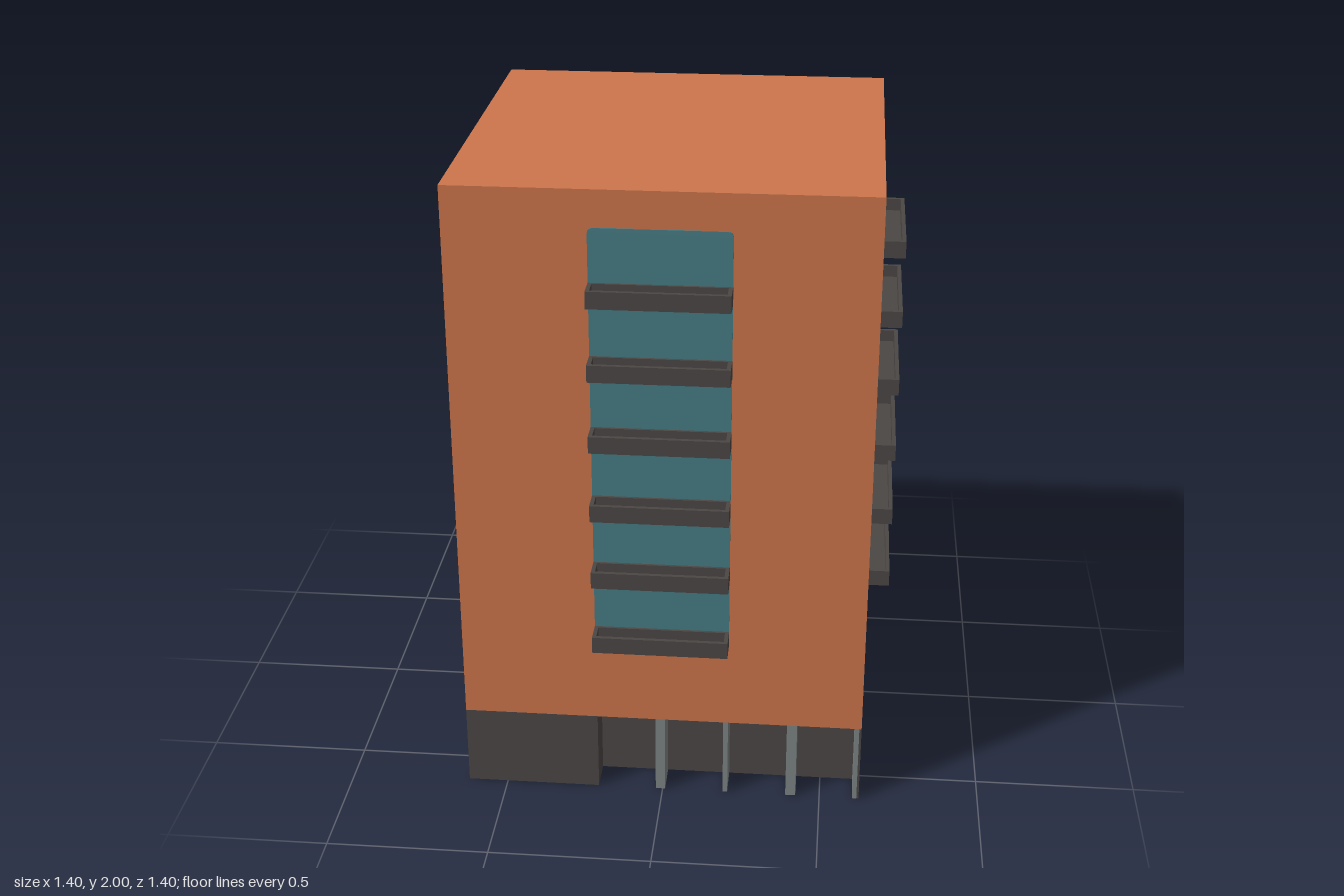
import * as THREE from 'three';

const mat = (name, color) => {
  const m = new THREE.MeshStandardMaterial({ color, side: THREE.DoubleSide, flatShading: true });
  m.name = name;
  return m;
};

export function createModel() {
  const brick = mat('terracotta', 0xcc754b);
  const glass = mat('teal glass', 0x477c84);
  const dark = mat('dark grey', 0x4b4745);
  const steel = mat('light grey', 0x7d8484);

  const H = 0.625, BASE = 0.262, TOP = 2, DEPTH = 0.105, INNER = H - DEPTH;
  const model = new THREE.Group();
  model.name = 'towerBlock';

  const add = (parent, name, geo, material) => {
    const mesh = new THREE.Mesh(geo, material);
    mesh.name = name;
    parent.add(mesh);
    return mesh;
  };
  // box given by its limits on each axis
  const box = (parent, name, material, x0, x1, y0, y1, z0, z1) => {
    const mesh = add(parent, name, new THREE.BoxGeometry(x1 - x0, y1 - y0, z1 - z0), material);
    mesh.position.set((x0 + x1) / 2, (y0 + y1) / 2, (z0 + z1) / 2);
    return mesh;
  };

  // flat roof of the hollow shell
  const roof = add(model, 'roof', new THREE.PlaneGeometry(2 * H, 2 * H).rotateX(-Math.PI / 2), brick);
  roof.position.y = TOP;

  // window strip with slightly rounded corners
  const w = 0.207, b = 0.56, t = 1.888, r = 0.018;
  const strip = new THREE.Shape();
  strip.moveTo(-w, b);
  strip.lineTo(w, b);
  strip.lineTo(w, t - r);
  strip.quadraticCurveTo(w, t, w - r, t);
  strip.lineTo(-w + r, t);
  strip.quadraticCurveTo(-w, t, -w, t - r);
  const stripGeo = new THREE.ExtrudeGeometry(strip, { depth: 0.004, bevelEnabled: false, curveSegments: 4 });

  // the four sides are the same, turned about the upright axis
  for (let i = 0; i < 4; i++) {
    const side = new THREE.Group();
    side.name = 'side' + (i + 1);
    side.rotation.y = i * Math.PI / 2;
    model.add(side);

    const wall = add(side, 'wall', new THREE.PlaneGeometry(2 * H, TOP - BASE), brick);
    wall.position.set(0, (TOP + BASE) / 2, H);

    add(side, 'windowStrip', stripGeo, glass).position.z = H;

    // open-topped balcony trays
    for (let k = 0; k < 6; k++) {
      const y = 0.542 + k * 0.2258, h = 0.053, z = 0.7, e = 0.012;
      const tray = new THREE.Group();
      tray.name = 'balcony' + (k + 1);
      side.add(tray);
      box(tray, 'balconyFloor', dark, -w, w, y, y + 0.015, H, z);
      box(tray, 'balconyFront', dark, -w, w, y + 0.015, y + h, z - e, z);
      box(tray, 'balconyBack', dark, -w, w, y + 0.015, y + h, H, H + e);
      for (const s of [-1, 1]) {
        const x = s * (w - e / 2);
        box(tray, 'balconyEnd', dark, x - e / 2, x + e / 2, y + 0.015, y + h, H + e, z - e);
      }
    }

    // underside above the recessed ground floor
    const soffit = add(side, 'soffit', new THREE.PlaneGeometry(H + 0.205, DEPTH).rotateX(Math.PI / 2), brick);
    soffit.position.set((H - 0.205) / 2, BASE, H - DEPTH / 2);

    // ground floor: flush wall, return into the recess, recessed wall
    box(side, 'flushBaseWall', dark, -H, -0.205, 0, BASE, H - 0.007, H);
    box(side, 'recessReturn', dark, -0.213, -0.205, 0, BASE, INNER, H - 0.007);
    box(side, 'recessedWall', dark, -0.205, 0.604, 0, BASE, INNER - 0.01, INNER);

    // upright fins across the recess
    for (const [x0, x1] of [[-0.022, 0.008], [0.192, 0.207], [0.392, 0.424], [0.604, 0.618]]) {
      box(side, 'fin', steel, x0, x1, 0, BASE, INNER, H);
    }
  }
  return model;
}
